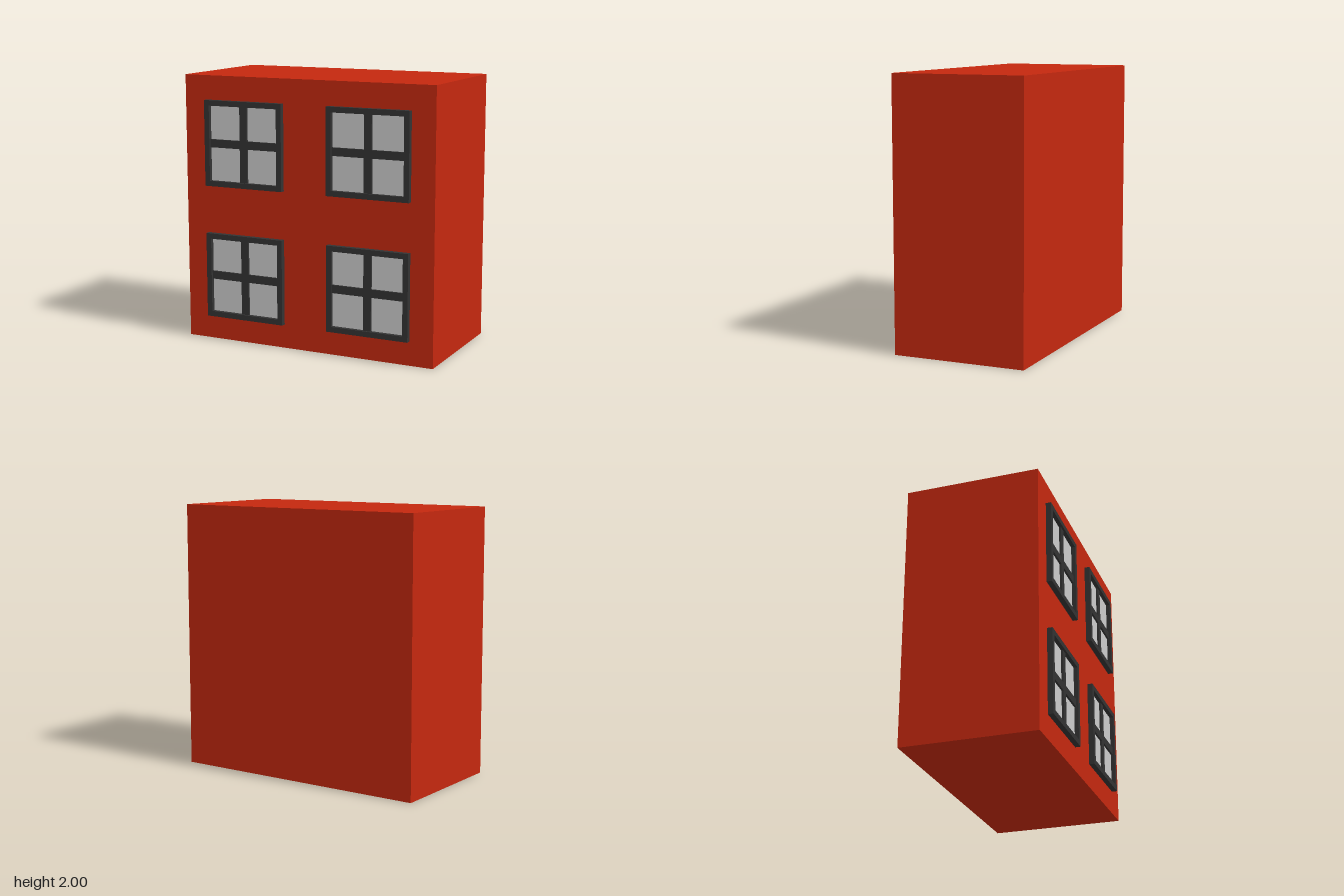
import * as THREE from 'three';

const WALL_FRONT = 0.48;

export function createModel() {
  const model = new THREE.Group();
  model.name = 'buildingBlock';

  const brick = new THREE.MeshStandardMaterial({ color: 0xc4280f });
  const dark = new THREE.MeshStandardMaterial({ color: 0x333333 });
  const glass = new THREE.MeshStandardMaterial({ color: 0xcccccc });

  const add = (parent, name, geometry, material, x, y, z) => {
    const mesh = new THREE.Mesh(geometry, material);
    mesh.name = name;
    mesh.position.set(x, y, z);
    parent.add(mesh);
  };

  // Solid wall block
  add(model, 'wall', new THREE.BoxGeometry(2, 2, 1), brick, 0, 1, WALL_FRONT - 0.5);

  // Square window frame with one opening
  const square = (Type, h) => new Type([
    new THREE.Vector2(-h, -h), new THREE.Vector2(h, -h),
    new THREE.Vector2(h, h), new THREE.Vector2(-h, h),
  ]);
  const outline = square(THREE.Shape, 0.32);
  outline.holes.push(square(THREE.Path, 0.28));
  const frame = new THREE.ExtrudeGeometry(outline, { depth: 0.04, bevelEnabled: false });

  // Crossing glazing bars, set back from the frame, and the pane behind them
  const uprightBar = new THREE.BoxGeometry(0.06, 0.56, 0.025);
  const crossBar = new THREE.BoxGeometry(0.25, 0.06, 0.025);
  const pane = new THREE.BoxGeometry(0.56, 0.56, 0.01);

  // Two rows of two windows
  for (const y of [0.5, 1.5]) {
    for (const x of [-0.5, 0.5]) {
      const win = new THREE.Group();
      win.name = (y > 1 ? 'upper' : 'lower') + (x > 0 ? 'Left' : 'Right') + 'Window';
      win.position.set(x, y, WALL_FRONT);
      add(win, 'frame', frame, dark, 0, 0, 0);
      add(win, 'pane', pane, glass, 0, 0, 0.005);
      add(win, 'uprightBar', uprightBar, dark, 0, 0, 0.0125);
      for (const side of [-1, 1]) add(win, 'crossBar', crossBar, dark, side * 0.155, 0, 0.0125);
      model.add(win);
    }
  }
  return model;
}
